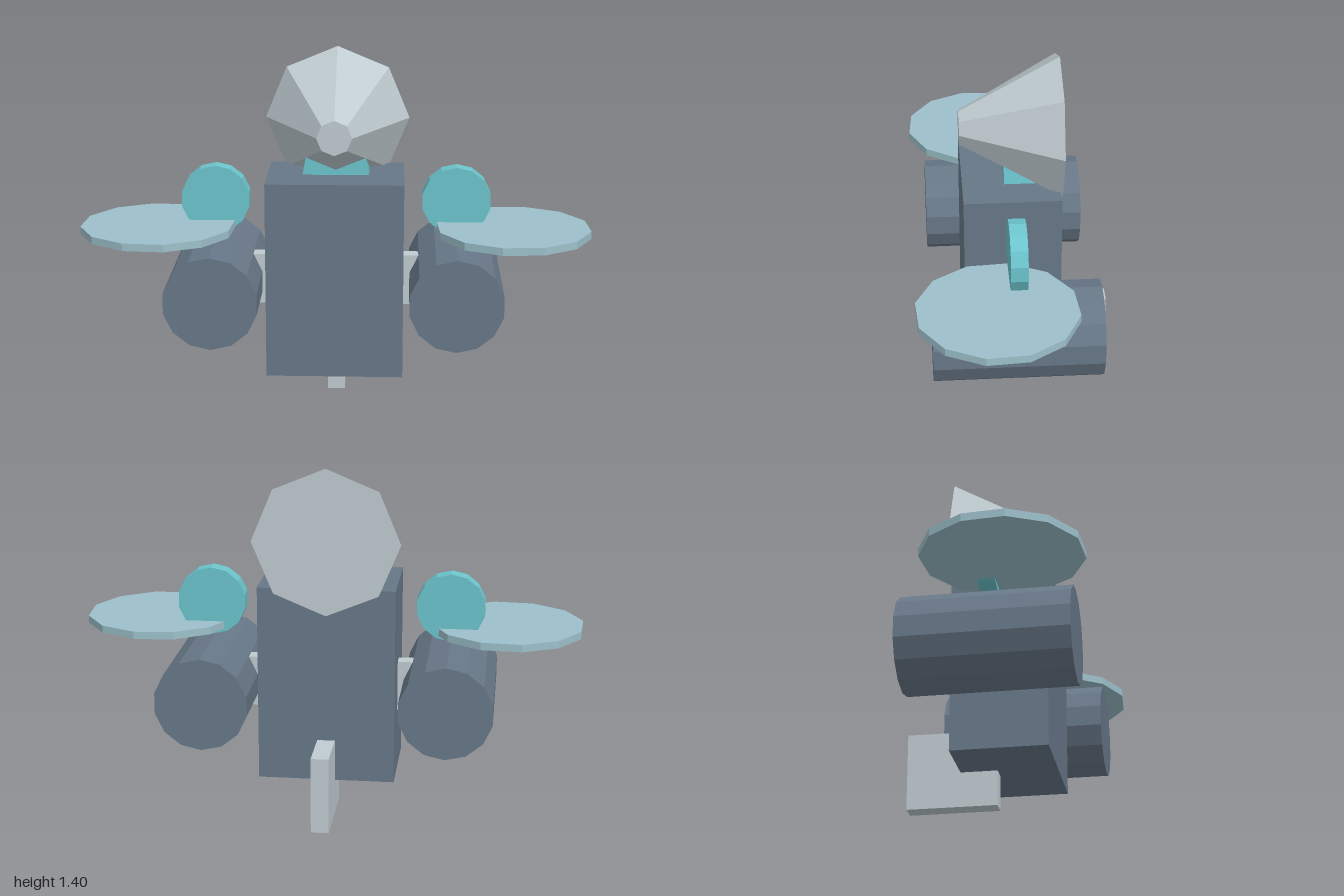
import * as THREE from 'three';

const flat = (name, color) => {
  const m = new THREE.MeshStandardMaterial({ color, flatShading: true });
  m.name = name;
  return m;
};

export function createModel() {
  const slate = flat('slate', 0x677787);
  const paleGrey = flat('paleGrey', 0xbfcbd0);
  const teal = flat('teal', 0x6cc4cc);
  const paleBlue = flat('paleBlue', 0x9cc0ca);

  const model = new THREE.Group();
  model.name = 'model';

  const add = (name, geometry, material, x, y, z) => {
    const mesh = new THREE.Mesh(geometry, material);
    mesh.name = name;
    mesh.position.set(x, y, z);
    model.add(mesh);
    return mesh;
  };

  // Central body, and the fin under its rear
  add('body', new THREE.BoxGeometry(0.54, 0.785, 0.377), slate, 0, 0.5325, 0.0085);
  add('tailFin', new THREE.BoxGeometry(0.07, 0.306, 0.355), paleGrey, 0, 0.153, -0.2125);

  // Slightly tapered neck, mostly sunk into the head
  const neck = new THREE.BoxGeometry(0.268, 0.1, 0.16);
  const p = neck.attributes.position;
  for (let i = 0; i < p.count; i++) if (p.getY(i) > 0) p.setX(i, p.getX(i) * 0.86);
  add('neck', neck, teal, 0, 0.96, -0.045);

  // Eight-sided head, narrow end forward, a corner at the top
  const head = new THREE.CylinderGeometry(0.069, 0.29, 0.39, 8).rotateX(Math.PI / 2);
  add('head', head, paleGrey, 0, 1.11, 0.008);

  // Paired side parts
  for (const s of [1, -1]) {
    const side = s > 0 ? 'left' : 'right';
    add(side + 'Bracket', new THREE.BoxGeometry(0.14, 0.204, 0.06), paleGrey, s * 0.31, 0.493, 0);

    const drum = new THREE.CylinderGeometry(0.186, 0.186, 0.648, 14).rotateX(Math.PI / 2);
    add(side + 'Drum', drum, slate, s * 0.476, 0.481, 0.009);

    const disc = new THREE.CylinderGeometry(0.137, 0.137, 0.065, 14).rotateX(Math.PI / 2);
    add(side + 'Disc', disc, teal, s * 0.477, 0.822, 0.007);

    const wing = new THREE.CylinderGeometry(0.305, 0.305, 0.03, 12)
      .rotateY(-s * THREE.MathUtils.degToRad(11));
    add(side + 'Wing', wing, paleBlue, s * 0.7, 0.722, 0.094);
  }
  return model;
}
